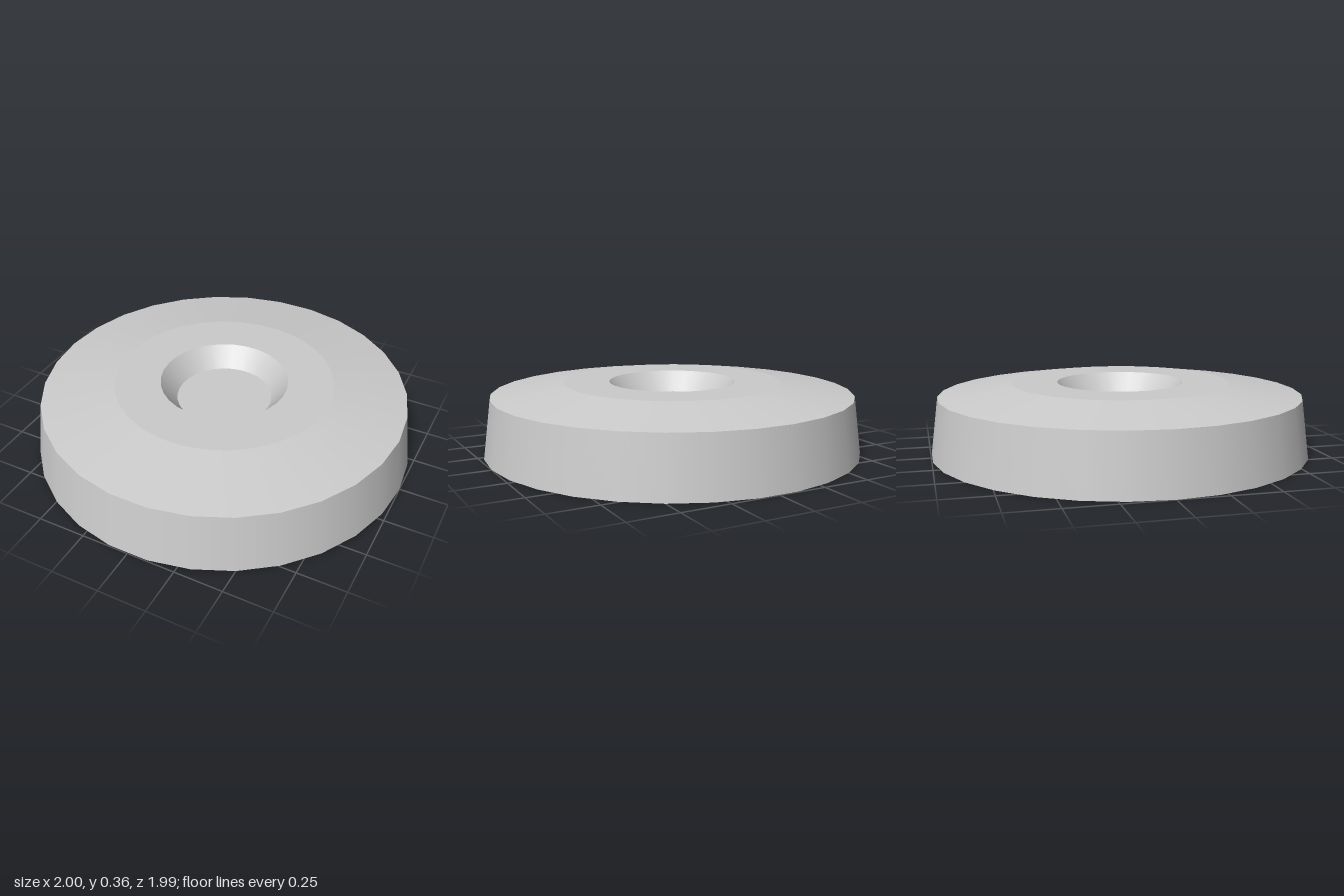
import * as THREE from 'three';

const SIDES = 30;

export function createModel() {
  const group = new THREE.Group();
  group.name = 'recessedDisc';
  const material = new THREE.MeshStandardMaterial({ color: 0xcccccc });

  // Each band runs from one [radius, height] to the next, smooth around, sharp between bands
  const addBand = (name, from, to) => {
    const points = [new THREE.Vector2(...from), new THREE.Vector2(...to)];
    const mesh = new THREE.Mesh(new THREE.LatheGeometry(points, SIDES, Math.PI / 2), material);
    mesh.name = name;
    group.add(mesh);
  };

  const base = [1, 0];
  const shoulder = [0.96, 0.302];
  const crown = [0.575, 0.362];
  const rim = [0.335, 0.362];
  const floor = [0.25, 0.257];

  addBand('underside', [0, 0], base);
  addBand('outerWall', base, shoulder);
  addBand('slopedTop', shoulder, crown);
  addBand('flatRing', crown, rim);
  addBand('recessWall', rim, floor);
  addBand('recessFloor', floor, [0, floor[1]]);

  return group;
}
